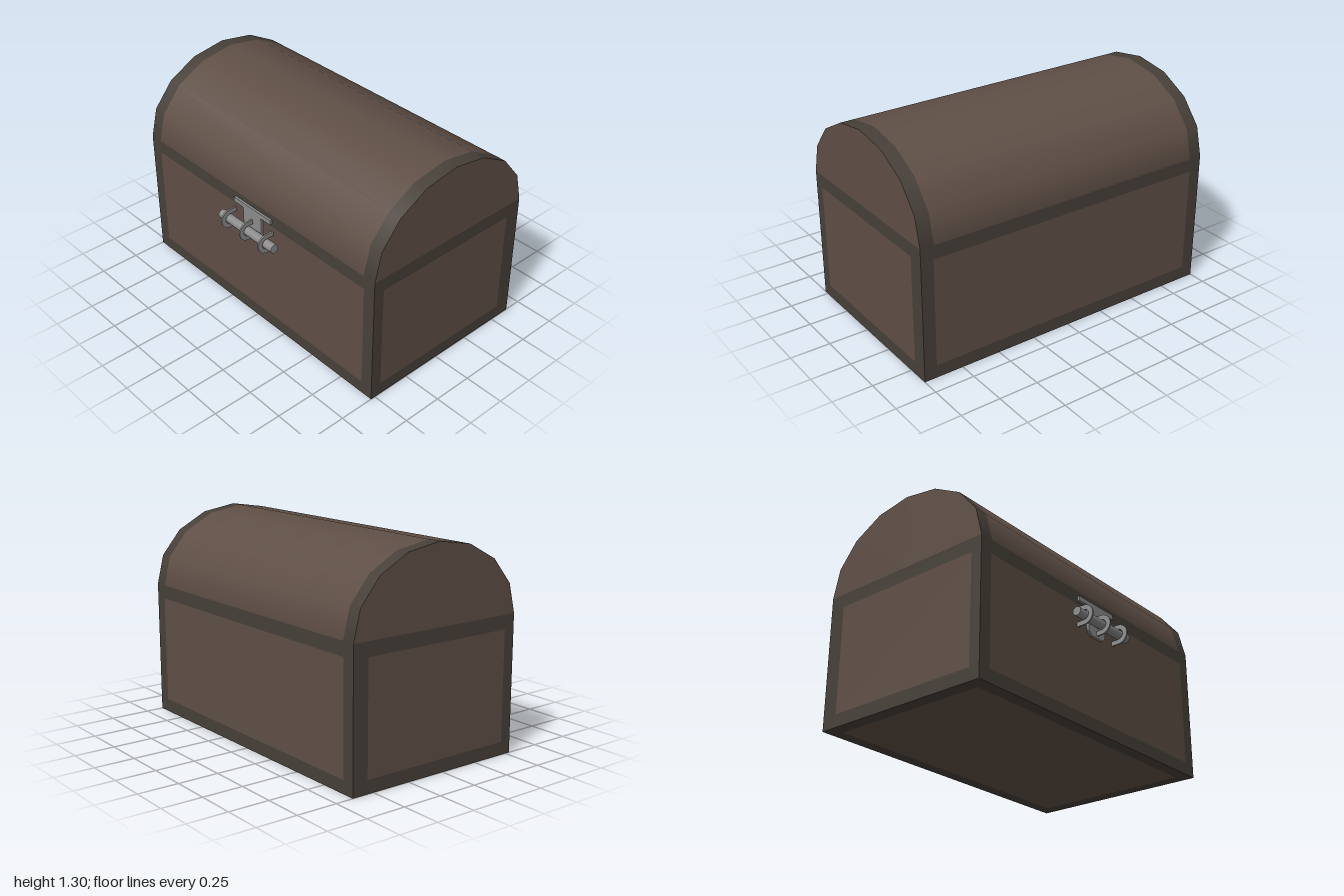
import * as THREE from 'three';

const BACK = -0.64, FRONT = 0.53, RIM = 0.835, MID = (BACK + FRONT) / 2;

export function createModel() {
  const chest = new THREE.Group();
  chest.name = 'chest';
  const wood = new THREE.MeshStandardMaterial({ color: 0x5f4f46 });
  const trim = new THREE.MeshStandardMaterial({ color: 0x474039 });
  const metal = new THREE.MeshStandardMaterial({ color: 0x8c8c8c });

  function add(name, geometry, material, parent = chest) {
    const mesh = new THREE.Mesh(geometry, material);
    mesh.name = name;
    parent.add(mesh);
    return mesh;
  }

  const corners = ([x0, y0, x1, y1]) => [[x0, y0], [x1, y0], [x1, y1], [x0, y1]].map(p => new THREE.Vector2(...p));

  // One flat wall: a dark frame around a flush wooden panel
  function wall(name, outer, inner, position, rx, ry) {
    const group = new THREE.Group();
    group.name = name;
    const frame = new THREE.Shape(corners(outer));
    frame.holes.push(new THREE.Path(corners(inner)));
    add(name + 'Frame', new THREE.ShapeGeometry(frame), trim, group);
    add(name + 'Panel', new THREE.ShapeGeometry(new THREE.Shape(corners(inner))), wood, group);
    group.position.set(...position);
    group.rotation.set(rx, ry, 0);
    chest.add(group);
  }

  // Box walls and floor
  const long = [-1, 0, 1, RIM], longPanel = [-0.92, 0.08, 0.92, 0.75];
  wall('frontWall', long, longPanel, [0, 0, FRONT], 0, 0);
  wall('backWall', long, longPanel, [0, 0, BACK], 0, Math.PI);
  wall('leftWall', [-FRONT, 0, -BACK, RIM], [-0.46, 0.08, 0.54, 0.75], [1, 0, 0], 0, Math.PI / 2);
  wall('rightWall', [BACK, 0, FRONT, RIM], [-0.54, 0.08, 0.46, 0.75], [-1, 0, 0], 0, -Math.PI / 2);
  wall('floor', [-1, BACK, 1, FRONT], [-0.92, -0.56, 0.92, 0.45], [0, 0, 0], Math.PI / 2, 0);

  // Domed lid: eight-sided half ellipse with a dark band at each end
  const dome = geometry => geometry.scale(1, 0.47, (FRONT - BACK) / 2).translate(0, RIM, MID);
  function lidStrip(name, x0, x1, material) {
    const strip = new THREE.CylinderGeometry(1, 1, x1 - x0, 8, 1, true, 0, Math.PI);
    add(name, dome(strip.rotateZ(Math.PI / 2).translate((x0 + x1) / 2, 0, 0)), material);
  }
  lidStrip('lidTop', -0.915, 0.915, wood);
  for (const [side, s] of [['left', 1], ['right', -1]]) {
    lidStrip(side + 'LidBand', s > 0 ? 0.915 : -1, s > 0 ? 1 : -0.915, trim);
    const end = new THREE.CircleGeometry(1, 8, 0, Math.PI);
    add(side + 'LidEnd', dome(end.rotateY(s * Math.PI / 2).translate(s, 0, 0)), wood);
  }

  // Latch: T-shaped hasp plate
  const latch = new THREE.Group();
  latch.name = 'latch';
  chest.add(latch);
  const half = [[0.05, 0.585], [0.08, 0.61], [0.08, 0.77], [0.165, 0.77], [0.165, 0.8]];
  const outline = [...half, ...half.map(([x, y]) => [-x, y]).reverse()].map(p => new THREE.Vector2(...p));
  const plate = new THREE.ExtrudeGeometry(new THREE.Shape(outline), { depth: 0.015, bevelEnabled: false });
  add('haspPlate', plate, metal, latch).position.z = FRONT;

  // Sliding bolt
  const rod = new THREE.CylinderGeometry(0.028, 0.028, 0.48, 16).rotateZ(Math.PI / 2);
  add('bolt', rod, metal, latch).position.set(0, 0.66, 0.58);

  // Three thin U-shaped staples holding the bolt
  const u = new THREE.Shape();
  u.moveTo(-0.05, -0.062);
  u.lineTo(0, -0.062);
  u.absarc(0, 0, 0.062, -Math.PI / 2, Math.PI / 2, false);
  u.lineTo(-0.05, 0.062);
  u.lineTo(-0.05, 0.033);
  u.lineTo(0, 0.033);
  u.absarc(0, 0, 0.033, Math.PI / 2, -Math.PI / 2, true);
  u.lineTo(-0.05, -0.033);
  const staple = new THREE.ExtrudeGeometry(u, { depth: 0.01, bevelEnabled: false, curveSegments: 12 });
  staple.translate(0, 0, -0.005).rotateY(-Math.PI / 2);
  for (const x of [-0.168, 0, 0.168]) add('staple', staple, metal, latch).position.set(x, 0.662, 0.58);

  return chest;
}
